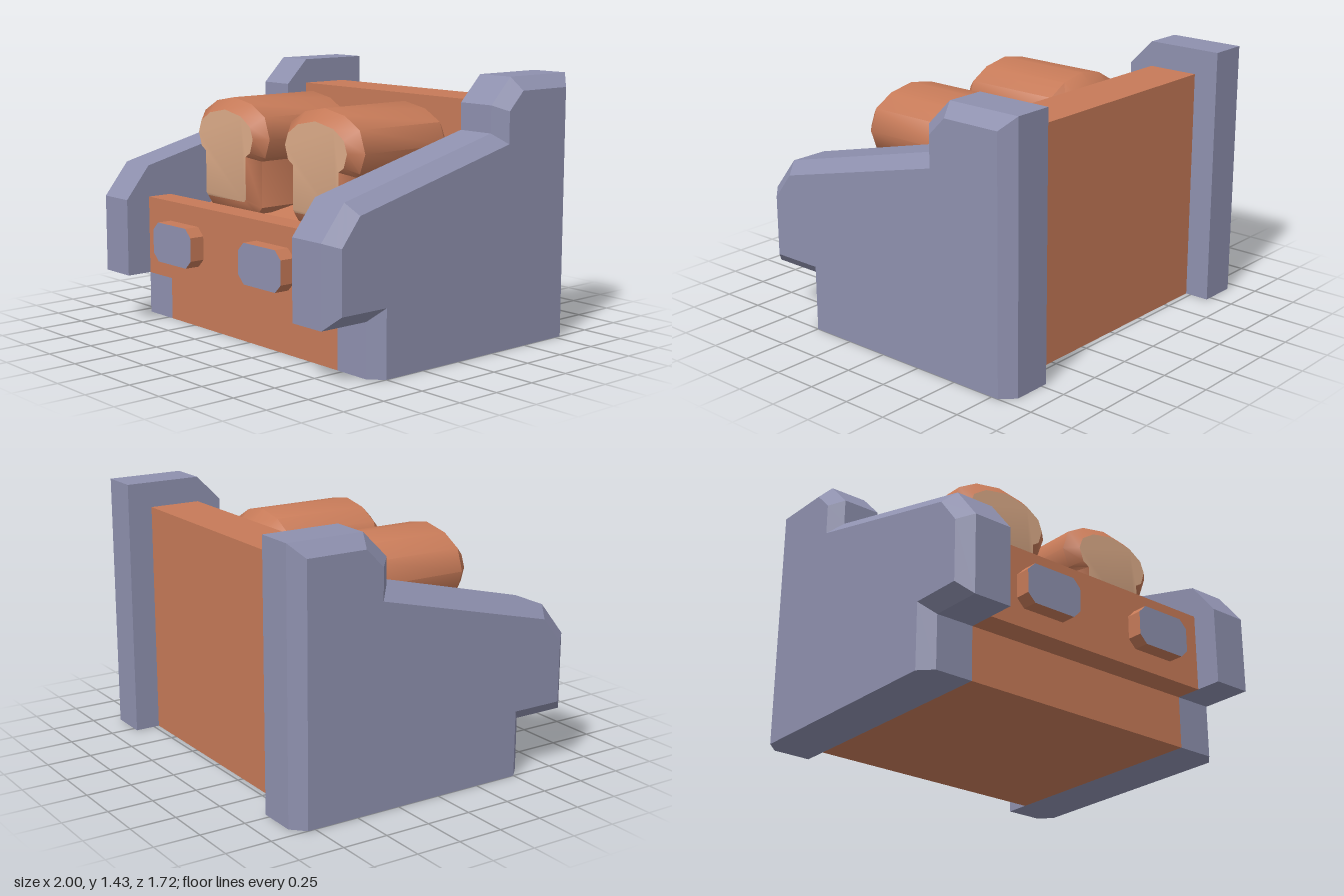
import * as THREE from 'three';
import { toCreasedNormals } from 'three/addons/utils/BufferGeometryUtils.js';

const material = (name, color) => {
  const m = new THREE.MeshStandardMaterial({ color });
  m.name = name;
  return m;
};

// Joins outlines of equal point count, each at its own z, and caps both ends.
// Group 0 is the walls and back cap, group 1 is the front cap.
function loft(rings, crease = 0.1) {
  const flip = THREE.ShapeUtils.isClockWise(rings[0].points.map(p => new THREE.Vector2(...p)));
  const loops = rings.map(({ points, z }) => {
    const loop = points.map(([x, y]) => new THREE.Vector3(x, y, z));
    return flip ? loop.reverse() : loop;
  });
  const n = loops[0].length, out = [];
  const tri = (...corners) => corners.forEach(v => out.push(v.x, v.y, v.z));
  for (let r = 0; r < loops.length - 1; r++) {
    const a = loops[r], b = loops[r + 1];
    for (let i = 0; i < n; i++) {
      const j = (i + 1) % n;
      tri(a[i], a[j], b[j]);
      tri(a[i], b[j], b[i]);
    }
  }
  const cap = loop => THREE.ShapeUtils.triangulateShape(loop.map(v => new THREE.Vector2(v.x, v.y)), []);
  const back = loops[0], front = loops[loops.length - 1];
  cap(back).forEach(([i, j, k]) => tri(back[k], back[j], back[i]));
  const split = out.length / 3;
  cap(front).forEach(([i, j, k]) => tri(front[i], front[j], front[k]));
  const geo = new THREE.BufferGeometry();
  geo.setAttribute('position', new THREE.Float32BufferAttribute(out, 3));
  geo.addGroup(0, split, 0);
  geo.addGroup(split, out.length / 3 - split, 1);
  geo.computeVertexNormals();
  return toCreasedNormals(geo, crease);
}

// Completes a half outline by mirroring it in x
const mirror = half => [
  ...half,
  ...half.filter(p => p[0] !== 0).reverse().map(([x, y]) => [-x, y]),
];

export function createModel() {
  const model = new THREE.Group();
  model.name = 'breadDisplay';
  const crust = material('crust brown', 0xc67a58);
  const slate = material('slate blue', 0x8e90ae);
  const crumb = material('crumb tan', 0xdcab88);

  const add = (name, geo, front, side, x = 0) => {
    const mesh = new THREE.Mesh(geo, [side, front]);
    mesh.name = name;
    mesh.position.x = x;
    model.add(mesh);
    return mesh;
  };
  // Profiles below are given as [z, y]; the turned mesh maps local x to -z
  const across = points => points.map(([z, y]) => [-z, y]);

  // Body: back wall, sloping tray, front lip and recessed base
  const body = across([
    [-0.72, 0], [-0.72, 1.29], [-0.43, 1.29], [-0.43, 0.825], [0.57, 0.575],
    [0.57, 0.72], [0.715, 0.72], [0.715, 0.29], [0.57, 0.29], [0.57, 0],
  ]);
  add('body', loft([{ points: body, z: -0.715 }, { points: body, z: 0.715 }]), crust, crust)
    .rotation.y = Math.PI / 2;

  // Side panels with a bevelled outer face
  const panel = across([
    [-0.86, 0], [-0.86, 1.43], [-0.43, 1.43], [-0.29, 1.29], [-0.29, 1.145],
    [0.715, 0.895], [0.86, 0.715], [0.86, 0.29], [0.57, 0.29], [0.57, 0],
  ]);
  const inset = across([
    [-0.79, 0], [-0.79, 1.36], [-0.455, 1.36], [-0.355, 1.26], [-0.355, 1.09],
    [0.675, 0.835], [0.79, 0.69], [0.79, 0.36], [0.5, 0.36], [0.5, 0],
  ]);
  const layers = [
    { points: panel, z: 0.715 }, { points: panel, z: 0.93 }, { points: inset, z: 1 },
  ];
  const mirrored = layers.map(({ points, z }) => ({ points, z: -z })).reverse();
  add('leftPanel', loft(layers), slate, slate).rotation.y = Math.PI / 2;
  add('rightPanel', loft(mirrored), slate, slate).rotation.y = Math.PI / 2;

  // Loaf cross-sections: full crust and smaller cut face
  const full = mirror([
    [0.2, 0.65], [0.24, 0.69], [0.24, 0.945], [0.27, 0.965], [0.31, 1.07],
    [0.268, 1.187], [0.155, 1.25], [0, 1.278],
  ]);
  const cut = mirror([
    [0.165, 0.72], [0.18, 0.735], [0.18, 0.97], [0.22, 0.995], [0.245, 1.07],
    [0.22, 1.135], [0.14, 1.187], [0, 1.214],
  ]);
  const loaf = loft([
    { points: cut, z: -0.27 }, { points: full, z: -0.2 },
    { points: full, z: 0.365 }, { points: cut, z: 0.43 },
  ], 0.75);

  // Front tag outline with clipped corners
  const tagOutline = mirror([
    [0.127, 0.395], [0.172, 0.44], [0.172, 0.567], [0.127, 0.612],
  ]);
  const tag = loft([{ points: tagOutline, z: 0.7 }, { points: tagOutline, z: 0.8 }]);

  for (const [side, s] of [['left', 1], ['right', -1]]) {
    add(side + 'Loaf', loaf, crumb, crust, 0.382 * s);
    add(side + 'Tag', tag, slate, crust, 0.38 * s);
  }
  return model;
}
